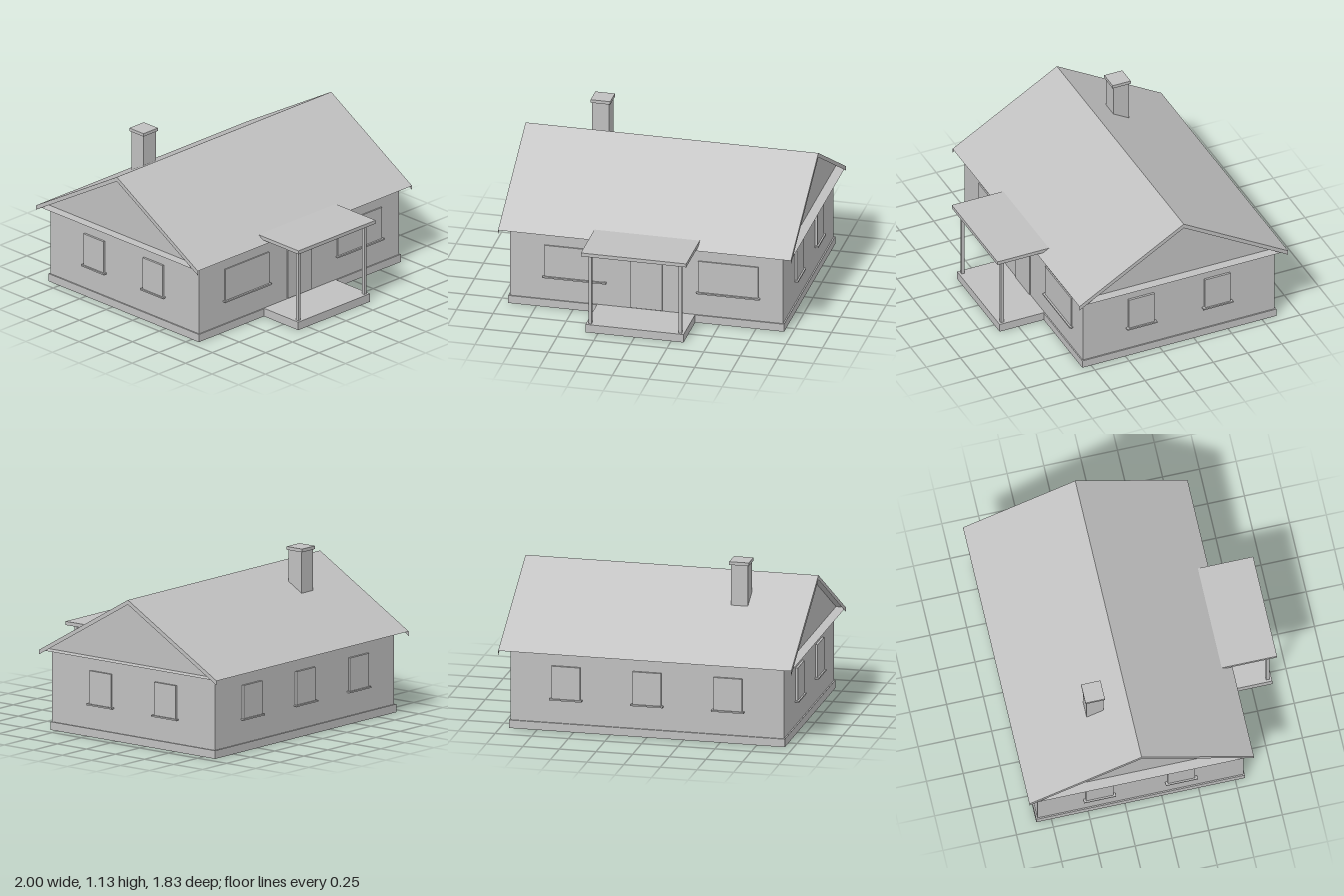
import * as THREE from 'three';

export function createModel() {
  const house = new THREE.Group();
  house.name = 'house';
  const grey = new THREE.MeshStandardMaterial({ color: 0xc0c0c0, side: THREE.DoubleSide });
  grey.name = 'plain grey';

  function add(name, geometry) {
    const mesh = new THREE.Mesh(geometry, grey);
    mesh.name = name;
    house.add(mesh);
    return mesh;
  }

  // Box given by its limits; skip lists the sides left open (2 = top, 3 = bottom)
  function box(name, x0, x1, y0, y1, z0, z1, skip = []) {
    const g = new THREE.BoxGeometry(x1 - x0, y1 - y0, z1 - z0);
    const index = Array.from(g.index.array);
    g.setIndex(index.filter((_, i) => !skip.includes(Math.floor(i / 6))));
    g.clearGroups();
    g.translate((x0 + x1) / 2, (y0 + y1) / 2, (z0 + z1) / 2);
    return add(name, g);
  }

  // Flat upright polygon in the z-y plane at a given x
  function sidePlate(name, x, points) {
    const shape = new THREE.Shape(points.map(([z, y]) => new THREE.Vector2(-z, y)));
    const g = new THREE.ShapeGeometry(shape);
    g.rotateY(Math.PI / 2);
    if (x < 0) g.scale(-1, 1, 1);
    g.translate(x, 0, 0);
    if (x < 0) g.setIndex(Array.from(g.index.array).reverse());
    g.computeVertexNormals();
    return add(name, g);
  }

  const wallX = 0.933, front = 0.557, back = -0.843;
  const eaveY = 0.547, ridgeY = 0.99, ridgeZ = -0.15, eaveFront = 0.613, eaveBack = -0.913;

  // Plinth: a narrow ring standing out around the walls
  const rect = (C, x, z0, z1) => {
    const p = new C();
    p.moveTo(-x, -z1).lineTo(x, -z1).lineTo(x, -z0).lineTo(-x, -z0).closePath();
    return p;
  };
  const ring = rect(THREE.Shape, wallX + 0.009, back - 0.01, front + 0.008);
  ring.holes.push(rect(THREE.Path, wallX, back, front));
  const plinth = new THREE.ExtrudeGeometry(ring, { depth: 0.055, bevelEnabled: false });
  plinth.rotateX(-Math.PI / 2);
  add('plinth', plinth);

  // Hollow walls, open below, and the flat ceiling that runs out as the soffit
  box('walls', -wallX, wallX, 0.055, eaveY, back, front, [2, 3]);
  const ceiling = new THREE.PlaneGeometry(2, eaveFront - eaveBack);
  ceiling.rotateX(-Math.PI / 2);
  ceiling.translate(0, eaveY, (eaveFront + eaveBack) / 2);
  add('ceiling', ceiling);

  // Roof slopes
  for (const [name, z] of [['frontRoof', eaveFront], ['backRoof', eaveBack]]) {
    const dz = z - ridgeZ, dy = ridgeY - eaveY, s = Math.sign(dz);
    const g = new THREE.PlaneGeometry(2, Math.hypot(dz, dy));
    g.rotateX(-Math.PI / 2);
    g.rotateX(s * Math.atan2(dy, Math.abs(dz)));
    g.translate(0, (ridgeY + eaveY) / 2, (z + ridgeZ) / 2);
    add(name, g);
  }

  // Gables and sloping edge boards at both ends
  const drop = 0.031;
  for (const s of [1, -1]) {
    sidePlate('gable', s * wallX, [[eaveFront, eaveY], [eaveBack, eaveY], [ridgeZ, ridgeY]]);
    sidePlate('edgeBoard', s, [
      [eaveFront, eaveY - drop], [ridgeZ, ridgeY - drop], [eaveBack, eaveY - drop],
      [eaveBack, eaveY], [ridgeZ, ridgeY], [eaveFront, eaveY],
    ]);
  }

  // Windows with sills on all four walls
  const y0 = 0.225, y1 = 0.45;
  for (const [a, b] of [[-0.695, -0.285], [0.355, 0.765]]) {
    box('frontWindow', a, b, y0, y1, front, front + 0.009);
    box('frontSill', a - 0.012, b + 0.012, y0 - 0.01, y0, front, front + 0.022);
  }
  for (const c of [-0.553, 0, 0.553]) {
    box('backWindow', c - 0.097, c + 0.097, y0, y1, back - 0.016, back);
    box('backSill', c - 0.11, c + 0.11, y0 - 0.01, y0, back - 0.027, back);
  }
  for (const s of [1, -1]) {
    for (const [a, b] of [[0.04, 0.226], [-0.516, -0.33]]) {
      const out = (d) => [Math.min(s * wallX, s * (wallX + d)), Math.max(s * wallX, s * (wallX + d))];
      box('sideWindow', ...out(0.015), y0, y1, a, b);
      box('sideSill', ...out(0.026), y0 - 0.01, y0, a - 0.015, b + 0.015);
    }
  }

  // Door and porch
  box('door', -0.11, 0.11, 0.06, 0.473, front, front + 0.009);
  box('porchFloor', -0.335, 0.335, 0, 0.058, front + 0.008, 0.888, [3]);
  box('porchRoof', -0.36, 0.36, 0.565, 0.59, 0.535, 0.915);
  for (const x of [-0.308, 0.308]) box('porchPost', x - 0.011, x + 0.011, 0.058, 0.565, 0.85, 0.872);

  // Chimney
  box('chimneyShaft', -0.586, -0.47, 0.78, 1.108, -0.43, -0.317);
  box('chimneyCap', -0.595, -0.461, 1.108, 1.13, -0.44, -0.308);

  return house;
}
